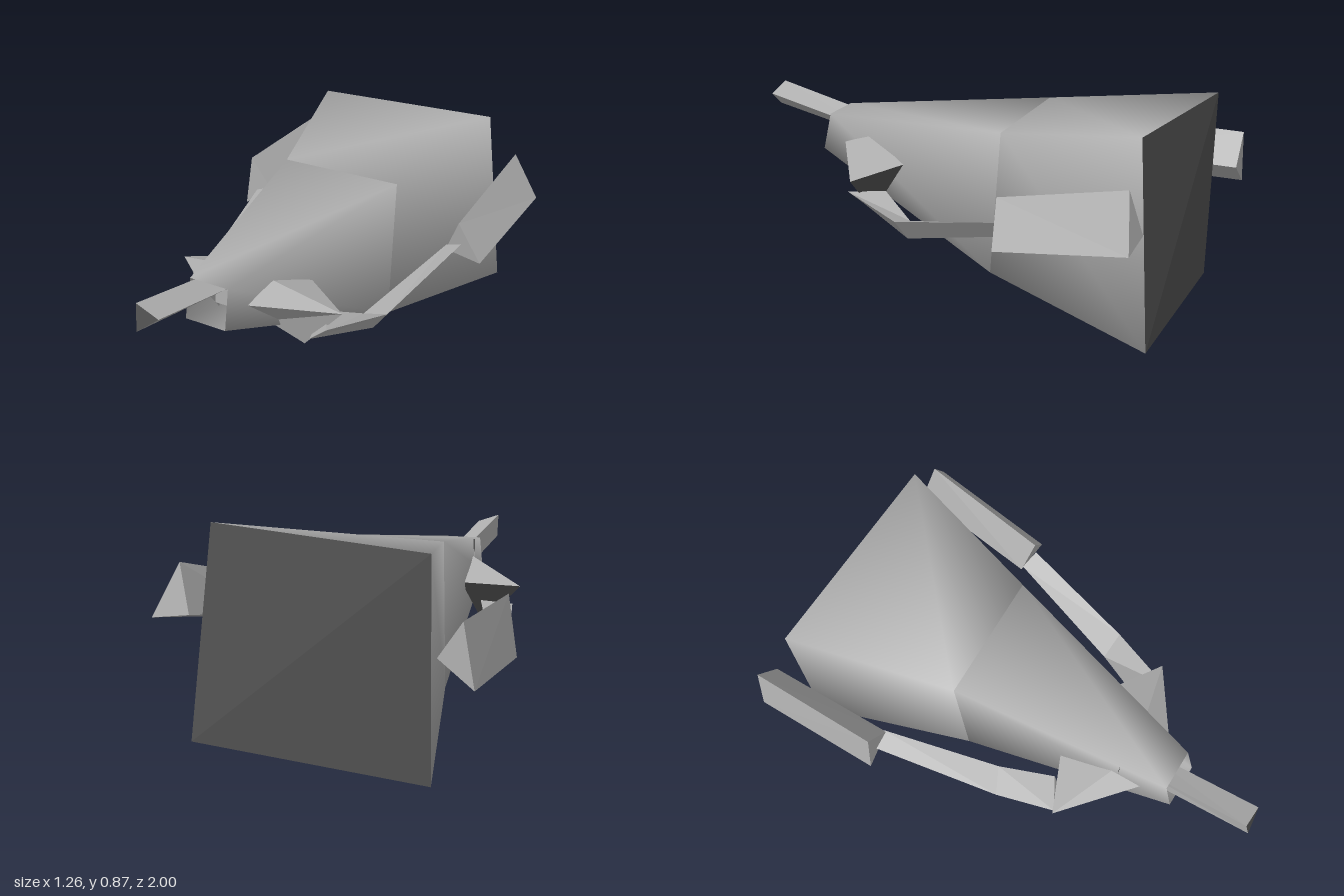
import * as THREE from 'three';
import { mergeGeometries } from 'three/addons/utils/BufferGeometryUtils.js';
import { ConvexGeometry } from 'three/addons/geometries/ConvexGeometry.js';

const V = (p) => new THREE.Vector3(...p);

// Flat polygon through a loop of corners
function panel(points) {
  const g = new THREE.BufferGeometry();
  g.setAttribute('position', new THREE.Float32BufferAttribute(points.flat(), 3));
  const index = [];
  for (let i = 1; i < points.length - 1; i++) index.push(0, i, i + 1);
  g.setIndex(index);
  const flat = g.toNonIndexed();
  flat.computeVertexNormals();
  return flat;
}

// Whether the first wall between two rings would face the middle
function facesInward(a, b) {
  const centre = new THREE.Vector3();
  [...a, ...b].forEach((p) => centre.add(V(p)));
  centre.divideScalar(a.length + b.length);
  const normal = V(a[1]).sub(V(a[0])).cross(V(b[1]).sub(V(a[0])));
  return normal.dot(V(a[0]).add(V(b[1])).multiplyScalar(0.5).sub(centre)) < 0;
}

// Walls through a list of rings, smooth around or faceted, with optional end caps
function loft(rings, { smooth = false, startCap = true, endCap = true } = {}) {
  const n = rings[0].length;
  const parts = [];
  const flip = facesInward(rings[0], rings[1]);
  for (let r = 0; r < rings.length - 1; r++) {
    const g = new THREE.BufferGeometry();
    g.setAttribute('position',
      new THREE.Float32BufferAttribute([...rings[r], ...rings[r + 1]].flat(), 3));
    const index = [];
    for (let i = 0; i < n; i++) {
      const j = (i + 1) % n;
      if (flip) index.push(i, n + j, j, i, n + i, n + j);
      else index.push(i, j, n + j, i, n + j, n + i);
    }
    g.setIndex(index);
    if (smooth) g.computeVertexNormals();
    const wall = g.toNonIndexed();
    if (!smooth) wall.computeVertexNormals();
    parts.push(wall);
  }
  const first = rings[0], last = rings[rings.length - 1];
  if (startCap) parts.push(panel(flip ? first : [...first].reverse()));
  if (endCap) parts.push(panel(flip ? [...last].reverse() : last));
  return mergeGeometries(parts);
}

export function createModel() {
  const group = new THREE.Group();
  const grey = new THREE.MeshStandardMaterial({ color: 0xb0b0b0, side: THREE.DoubleSide });
  grey.name = 'grey';
  const dark = new THREE.MeshStandardMaterial({ color: 0x505050, side: THREE.DoubleSide });
  dark.name = 'dark grey';

  const add = (name, geometry, material = grey) => {
    const mesh = new THREE.Mesh(geometry, material);
    mesh.name = name;
    group.add(mesh);
  };

  // Body: four-sided, open at the narrow front and skewed at the back
  const back = [[-0.45, 0.815, -0.915], [0.4, 0.875, -0.865],
    [0.465, 0.075, -0.94], [-0.45, 0.005, -0.91]];
  add('body', loft([
    [[-0.145, 0.645, 0.645], [0.025, 0.645, 0.645], [0.03, 0.485, 0.68], [-0.15, 0.485, 0.68]],
    [[-0.27, 0.755, -0.25], [0.255, 0.76, -0.26], [0.255, 0.165, -0.22], [-0.27, 0.165, -0.22]],
    back,
  ], { smooth: true, startCap: false, endCap: false }));
  add('backPanel', panel(back), dark);

  // Recess inside the front opening
  const recess = (y0, y1) => panel([[-0.18, y0, 0.45], [0.06, y0, 0.45],
    [0.06, y1, 0.45], [-0.18, y1, 0.45]]);
  add('mouthFloor', recess(0.43, 0.61));
  add('mouthRoof', recess(0.61, 0.665), dark);

  // Snout: three-sided rod with a dark tip, rooted inside the opening
  const tip = [[-0.135, 0.71, 0.98], [-0.035, 0.675, 0.985], [-0.125, 0.605, 1.0]];
  add('snout', loft([
    tip,
    [[-0.12, 0.605, 0.45], [-0.03, 0.57, 0.45], [-0.12, 0.505, 0.45]],
  ], { startCap: false }));
  add('snoutTip', panel(tip), dark);

  // Shoulders: faceted wedges, each with a dark panel hanging behind
  const shoulders = {
    left: { top: [0.06, 0.6, 0.43], front: [0.05, 0.54, 0.56], rear: [0.14, 0.515, 0.23],
      outer: [0.35, 0.49, 0.36], inner: [0.05, 0.4, 0.42], low: [0.18, 0.3, 0.355] },
    right: { top: [-0.165, 0.6, 0.43], front: [-0.16, 0.55, 0.55], rear: [-0.2, 0.515, 0.2],
      outer: [-0.43, 0.495, 0.3], inner: [-0.18, 0.395, 0.42], low: [-0.25, 0.315, 0.355] },
  };
  for (const [side, s] of Object.entries(shoulders)) {
    const wedge = [s.top, s.front, s.rear, s.outer, s.inner];
    add(`${side}Shoulder`, new ConvexGeometry(wedge.map(V)));
    add(`${side}ShoulderPanel`, panel([s.outer, s.rear, s.low]), dark);
  }
  const { outer, inner, low } = shoulders.left;
  add('leftShoulderFront', panel([outer, inner, low]));

  // Arms: bent three-sided limbs
  add('leftArm', loft([
    [[0.305, 0.425, 0.4], [0.22, 0.42, 0.27], [0.215, 0.345, 0.38]],
    [[0.42, 0.385, 0.12], [0.31, 0.35, 0.11], [0.35, 0.29, 0.1]],
    [[0.515, 0.505, -0.36], [0.44, 0.475, -0.38], [0.46, 0.43, -0.37]],
  ]));
  add('rightArm', loft([
    [[-0.4, 0.42, 0.29], [-0.28, 0.44, 0.22], [-0.3, 0.36, 0.27]],
    [[-0.46, 0.39, 0.05], [-0.36, 0.425, 0], [-0.385, 0.33, 0.03]],
    [[-0.565, 0.455, -0.46], [-0.49, 0.485, -0.47], [-0.53, 0.4, -0.46]],
  ]));

  // Hands: three-sided blocks pointing backward
  add('leftHand', loft([
    [[0.5, 0.6, -0.355], [0.595, 0.425, -0.38], [0.435, 0.45, -0.385]],
    [[0.53, 0.725, -0.87], [0.63, 0.52, -0.91], [0.475, 0.54, -0.91]],
  ]));
  add('rightHand', loft([
    [[-0.59, 0.61, -0.46], [-0.625, 0.375, -0.46], [-0.49, 0.48, -0.46]],
    [[-0.59, 0.615, -1], [-0.63, 0.385, -1], [-0.5, 0.485, -1]],
  ]));

  return group;
}
